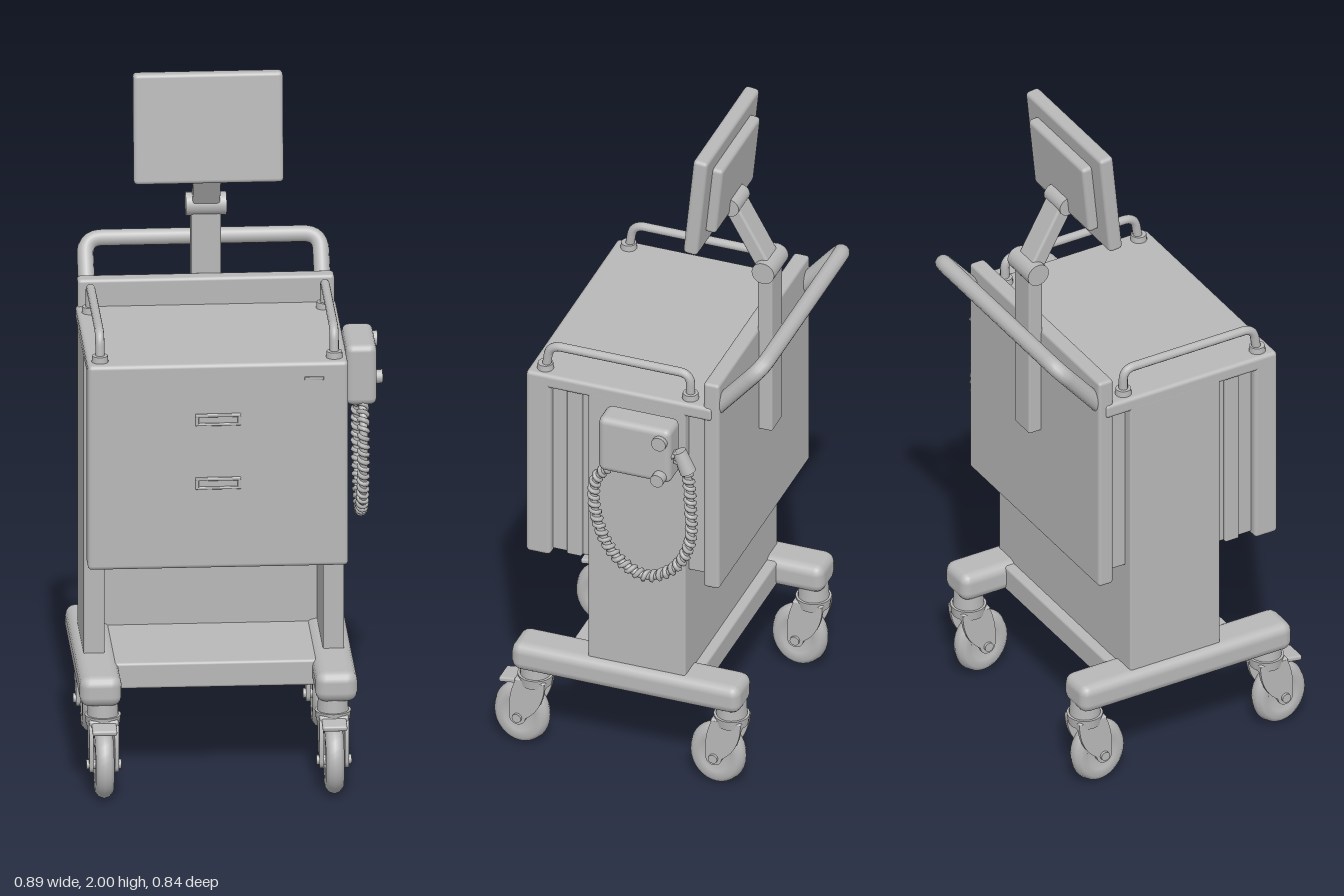
import * as THREE from 'three';
import { RoundedBoxGeometry } from 'three/addons/geometries/RoundedBoxGeometry.js';

const grey = new THREE.MeshStandardMaterial({ color: 0xb8b8b8 });
grey.name = 'lightGrey';

const V = (x, y, z) => new THREE.Vector3(x, y, z);

function add(parent, name, geometry, x = 0, y = 0, z = 0) {
  const mesh = new THREE.Mesh(geometry, grey);
  mesh.name = name;
  mesh.position.set(x, y, z);
  parent.add(mesh);
  return mesh;
}

// Soft-edged box given by its limits on each axis
function slab(parent, name, [x0, x1], [y0, y1], [z0, z1], r = 0.008) {
  const g = new RoundedBoxGeometry(x1 - x0, y1 - y0, z1 - z0, 2, r);
  return add(parent, name, g, (x0 + x1) / 2, (y0 + y1) / 2, (z0 + z1) / 2);
}

// Tube along straight runs with rounded corners
function bentTube(parent, name, pts, bend, radius) {
  const path = new THREE.CurvePath();
  let from = pts[0];
  for (let i = 1; i < pts.length - 1; i++) {
    const a = pts[i].clone().add(pts[i - 1].clone().sub(pts[i]).setLength(bend));
    const b = pts[i].clone().add(pts[i + 1].clone().sub(pts[i]).setLength(bend));
    path.add(new THREE.LineCurve3(from, a));
    path.add(new THREE.QuadraticBezierCurve3(a, pts[i], b));
    from = b;
  }
  path.add(new THREE.LineCurve3(from, pts[pts.length - 1]));
  return add(parent, name, new THREE.TubeGeometry(path, 90, radius, 12, false));
}

// Helix wound around a curve lying in a plane of constant x
class Coil extends THREE.Curve {
  constructor(base, turns, radius) {
    super();
    Object.assign(this, { base, turns, radius });
  }
  getPoint(t, target = new THREE.Vector3()) {
    const a = t * this.turns * Math.PI * 2;
    const side = V(1, 0, 0);
    const normal = side.clone().cross(this.base.getTangentAt(t));
    return target.copy(this.base.getPointAt(t))
      .addScaledVector(side, Math.cos(a) * this.radius)
      .addScaledVector(normal, Math.sin(a) * this.radius);
  }
}

function makeCaster(withBrake) {
  const c = new THREE.Group();
  c.name = 'caster';
  add(c, 'casterStem', new THREE.CylinderGeometry(0.042, 0.046, 0.075, 20), 0, 0.25, 0);
  add(c, 'casterCollar', new THREE.CylinderGeometry(0.052, 0.048, 0.03, 20), 0, 0.222, 0);
  // Tyre with a rounded tread and a dished hub
  const profile = [[0, -0.018], [0.045, -0.018], [0.055, -0.026], [0.08, -0.026], [0.094, -0.016],
    [0.1, 0], [0.094, 0.016], [0.08, 0.026], [0.055, 0.026], [0.045, 0.018], [0, 0.018]];
  const tyre = new THREE.LatheGeometry(profile.map(p => new THREE.Vector2(...p)), 32);
  tyre.rotateZ(Math.PI / 2).scale(1, 1, 0.84);
  add(c, 'wheel', tyre, 0, 0.1, 0.04);
  const axle = new THREE.CylinderGeometry(0.014, 0.014, 0.1, 12).rotateZ(Math.PI / 2);
  add(c, 'axle', axle, 0, 0.1, 0.04);
  // Fork cheeks, drawn in the (z, y) plane
  const s = new THREE.Shape();
  s.moveTo(-0.042, 0.225);
  s.lineTo(0.046, 0.225);
  s.quadraticCurveTo(0.07, 0.17, 0.064, 0.1);
  s.absarc(0.04, 0.1, 0.024, 0, -Math.PI, true);
  s.quadraticCurveTo(-0.04, 0.14, -0.042, 0.225);
  for (const x of [-0.042, 0.03]) {
    const cheek = new THREE.ExtrudeGeometry(s, { depth: 0.012, bevelEnabled: false });
    cheek.rotateY(-Math.PI / 2).translate(x + 0.012, 0, 0);
    add(c, 'forkCheek', cheek);
  }
  slab(c, 'forkBridge', [-0.042, 0.042], [0.202, 0.23], [-0.042, 0.05], 0.006);
  if (withBrake) {
    const pedal = slab(c, 'brakePedal', [-0.035, 0.035], [0.206, 0.222], [0.03, 0.1], 0.006);
    pedal.rotation.x = 0.15;
  }
  return c;
}

export function createModel() {
  const root = new THREE.Group();
  root.name = 'medicalCart';
  const cart = new THREE.Group();
  cart.name = 'cart';
  cart.position.x = -0.05;
  root.add(cart);

  // Base: floor plate, side rails, casters
  slab(cart, 'basePlate', [-0.32, 0.32], [0.275, 0.352], [-0.2, 0.2]);
  for (const s of [-1, 1]) {
    slab(cart, 'baseRail', [s * 0.335 - 0.06, s * 0.335 + 0.06], [0.27, 0.36], [-0.34, 0.355], 0.03);
    for (const z of [-0.295, 0.3]) {
      const caster = makeCaster(z > 0);
      caster.position.set(s * 0.327, 0, z);
      cart.add(caster);
    }
    for (const z of [-0.12, 0, 0.12]) {
      add(cart, 'bolt', new THREE.CylinderGeometry(0.01, 0.01, 0.02, 8), s * 0.18, 0.268, z);
    }
  }

  // Column: side walls and back, open at the front below the drawers
  for (const s of [-1, 1]) {
    slab(cart, 'sideWall', [s * 0.34 - 0.03, s * 0.34 + 0.03], [0.34, 1.25], [-0.17, 0.125], 0.006);
  }
  slab(cart, 'columnBack', [-0.33, 0.33], [0.34, 1.25], [-0.17, -0.145], 0.005);

  // Drawer box, front panel, worktop
  slab(cart, 'drawerBox', [-0.345, 0.345], [0.68, 1.245], [-0.15, 0.25], 0.006);
  slab(cart, 'frontPanel', [-0.37, 0.37], [0.67, 1.27], [0.24, 0.315], 0.012);
  for (const s of [-1, 1]) {
    slab(cart, 'drawerSlide', [s * 0.345 - 0.012, s * 0.345 + 0.012], [0.68, 1.245], [0.15, 0.195], 0.005);
  }
  slab(cart, 'worktop', [-0.37, 0.37], [1.235, 1.28], [-0.25, 0.315], 0.012);

  // Drawer pulls: thin raised frames
  for (const y of [1.115, 0.925]) {
    for (const s of [-1, 1]) {
      slab(cart, 'pullEnd', [s * 0.06 - 0.005, s * 0.06 + 0.005], [y - 0.018, y + 0.018], [0.31, 0.32], 0.003);
    }
    slab(cart, 'pullTop', [-0.065, 0.065], [y + 0.008, y + 0.018], [0.31, 0.321], 0.003);
    slab(cart, 'pullBottom', [-0.065, 0.065], [y - 0.018, y - 0.01], [0.31, 0.32], 0.003);
  }
  slab(cart, 'lockPlate', [0.245, 0.3], [1.228, 1.238], [0.312, 0.319], 0.002);

  // Rear panel rising above the worktop
  slab(cart, 'rearPanel', [-0.365, 0.365], [0.67, 1.36], [-0.27, -0.222], 0.01);
  slab(cart, 'rearSpacer', [-0.34, 0.34], [0.7, 1.24], [-0.225, -0.165], 0.006);

  // Push handle
  bentTube(cart, 'pushHandle', [V(-0.335, 1.25, -0.235), V(-0.335, 1.43, -0.388),
    V(0.335, 1.43, -0.388), V(0.335, 1.25, -0.235)], 0.05, 0.024);

  // Side guard rails
  for (const s of [-1, 1]) {
    const x = s * 0.333;
    bentTube(cart, 'guardRail', [V(x, 1.27, 0.268), V(x, 1.36, 0.255),
      V(x, 1.36, -0.172), V(x, 1.27, -0.172)], 0.035, 0.013);
    for (const z of [0.268, -0.172]) {
      add(cart, 'railFoot', new THREE.CylinderGeometry(0.022, 0.024, 0.02, 16), x, 1.288, z);
    }
  }

  // Monitor post, hinged arm and screen
  slab(cart, 'monitorPost', [-0.04, 0.045], [1.02, 1.57], [-0.31, -0.265], 0.006);
  const hinge = new THREE.CylinderGeometry(0.034, 0.034, 0.116, 20).rotateZ(Math.PI / 2);
  add(cart, 'armHinge', hinge, 0.003, 1.56, -0.288);
  const arm = add(cart, 'monitorArm', new RoundedBoxGeometry(0.078, 0.25, 0.045, 2, 0.008), 0.003, 1.66, -0.231);
  arm.rotation.x = 0.51;
  const topHinge = new THREE.CylinderGeometry(0.028, 0.028, 0.09, 20).rotateZ(Math.PI / 2);
  add(cart, 'tiltHinge', topHinge, 0.003, 1.75, -0.182);

  const monitor = new THREE.Group();
  monitor.name = 'monitor';
  monitor.position.set(0, 1.838, -0.139);
  monitor.rotation.x = -0.1;
  cart.add(monitor);
  slab(monitor, 'screen', [-0.213, 0.213], [-0.161, 0.161], [-0.022, 0.022], 0.012);
  slab(monitor, 'screenHousing', [-0.155, 0.155], [-0.11, 0.11], [-0.052, -0.015], 0.012);

  // Side device with knobs and a coiled cord
  const device = new THREE.Group();
  device.name = 'sideDevice';
  root.add(device);
  slab(device, 'deviceBox', [0.33, 0.418], [1.06, 1.24], [-0.16, 0.06], 0.02);
  slab(device, 'deviceBracket', [0.315, 0.345], [1.09, 1.21], [-0.12, 0.02]);
  for (const [y, r, tip] of [[1.2, 0.022, 0.43], [1.085, 0.02, 0.445]]) {
    const knob = new THREE.CylinderGeometry(r, r, 0.04, 16).rotateZ(Math.PI / 2);
    add(device, 'knob', knob, tip - 0.02, y, -0.13);
  }
  const cord = new THREE.CatmullRomCurve3([
    V(0.378, 1.07, 0.03), V(0.378, 1.0, 0.08), V(0.378, 0.87, 0.075), V(0.378, 0.76, 0.02),
    V(0.378, 0.712, -0.07), V(0.378, 0.755, -0.155), V(0.378, 0.85, -0.205),
    V(0.378, 0.98, -0.208), V(0.38, 1.08, -0.2), V(0.385, 1.13, -0.18), V(0.385, 1.16, -0.14)]);
  add(device, 'cordCore', new THREE.TubeGeometry(cord, 80, 0.012, 8, false));
  add(device, 'cordCoil', new THREE.TubeGeometry(new Coil(cord, 42, 0.012), 504, 0.0075, 5, false));
  const plug = add(device, 'cordPlug', new THREE.CylinderGeometry(0.02, 0.024, 0.07, 16), 0.385, 1.13, -0.19);
  plug.rotation.x = 0.4;

  return root;
}
